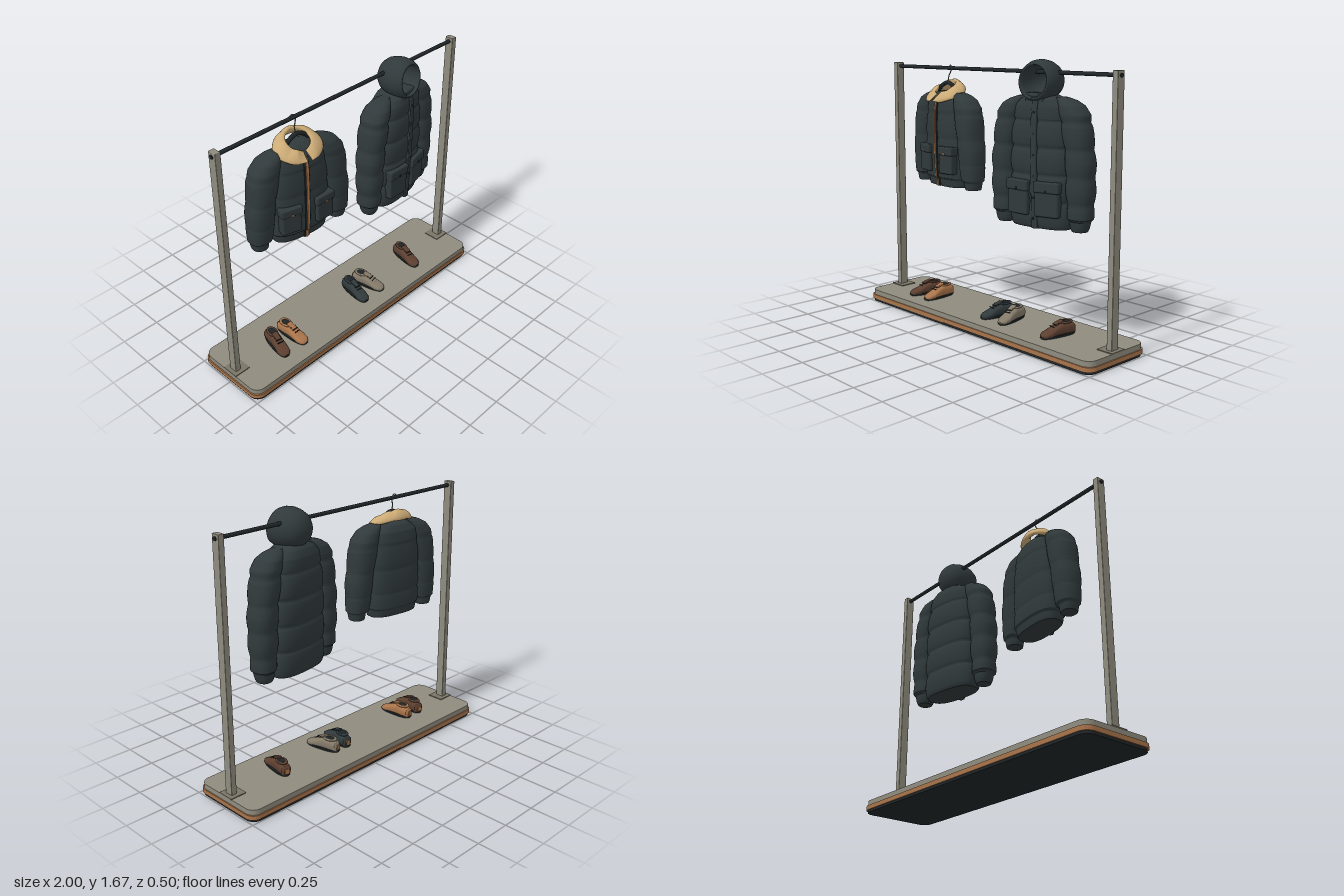
import * as THREE from 'three';
import { RoundedBoxGeometry } from 'three/addons/geometries/RoundedBoxGeometry.js';
import { ParametricGeometry } from 'three/addons/geometries/ParametricGeometry.js';

const mat = (name, color) => new THREE.MeshStandardMaterial({ name, color });

export function createModel() {
  const model = new THREE.Group();
  const slate = mat('slate cloth', 0x30393b), charcoal = mat('charcoal', 0x202628);
  const stone = mat('stone grey', 0x8f8b7e), pewter = mat('pewter', 0x7a7466);
  const copper = mat('copper wood', 0xa9744b), fleece = mat('tan fleece', 0xccab76);
  const brown = mat('dark brown leather', 0x5c3f30), taupe = mat('taupe suede', 0x847a69);

  function add(parent, name, geo, material, x = 0, y = 0, z = 0) {
    const m = new THREE.Mesh(geo, material);
    m.name = name;
    m.position.set(x, y, z);
    parent.add(m);
    return m;
  }
  function group(parent, name, x, y, z, turn = 0) {
    const g = new THREE.Group();
    g.name = name;
    g.position.set(x, y, z);
    g.rotation.y = turn;
    parent.add(g);
    return g;
  }

  // Closed skin through superellipse slices; each key is [y, xMin, xMax, zMin, zMax]
  function loft(keys, { rows = 40, n = 32, p = 2.3, puff = 0, pitch = 0.155 } = {}) {
    const lerp = new THREE.LinearInterpolant(keys.map(k => k[0]), keys.flatMap(k => k.slice(1)), 4);
    const y0 = keys[0][0], y1 = keys[keys.length - 1][0];
    // evenly spaced rows plus the key heights themselves
    const ys = [...new Set([...keys.map(k => k[0]), ...Array.from({ length: rows + 1 }, (_, i) => y0 + (y1 - y0) * i / rows)])].sort((a, b) => a - b);
    const pos = [], idx = [];
    const ring = y => {
      const [a, b, c, d] = lerp.evaluate(y);
      const bulge = puff * (Math.sqrt(Math.abs(Math.sin(Math.PI * (y - y0) / pitch))) - 0.5);
      for (let j = 0; j < n; j++) {
        const t = j / n * Math.PI * 2, cs = Math.cos(t), sn = Math.sin(t);
        pos.push((a + b) / 2 + Math.sign(cs) * Math.abs(cs) ** (2 / p) * ((b - a) / 2 + bulge), y,
          (c + d) / 2 + Math.sign(sn) * Math.abs(sn) ** (2 / p) * ((d - c) / 2 + bulge));
      }
      return [(a + b) / 2, y, (c + d) / 2];
    };
    ys.forEach(ring);
    for (let i = 0; i < ys.length - 1; i++) for (let j = 0; j < n; j++) {
      const a = i * n + j, b = i * n + (j + 1) % n;
      idx.push(a, a + n, b, b, a + n, b + n);
    }
    for (const [y, up] of [[y0, false], [y1, true]]) {
      const s = pos.length / 3;
      pos.push(...ring(y));
      for (let j = 0; j < n; j++) {
        const a = s + j, b = s + (j + 1) % n;
        idx.push(s + n, up ? b : a, up ? a : b);
      }
    }
    const g = new THREE.BufferGeometry();
    g.setAttribute('position', new THREE.Float32BufferAttribute(pos, 3));
    g.setIndex(idx);
    g.computeVertexNormals();
    return g;
  }

  // Layered plinth
  function slab(name, hx, hz, y, h, material) {
    const r = 0.06, s = new THREE.Shape();
    [[hx - r, -hz + r, -0.5], [hx - r, hz - r, 0], [-hx + r, hz - r, 0.5], [-hx + r, -hz + r, 1]]
      .forEach(([x, z, a]) => s.absarc(x, z, r, a * Math.PI, (a + 0.5) * Math.PI));
    const g = new THREE.ExtrudeGeometry(s, { depth: h, bevelEnabled: false, curveSegments: 6 });
    add(model, name, g.rotateX(-Math.PI / 2), material, 0, y, 0);
  }
  slab('plinthBottom', 0.992, 0.244, 0, 0.018, charcoal);
  slab('plinthWood', 1, 0.25, 0.016, 0.028, copper);
  slab('plinthTop', 0.993, 0.243, 0.044, 0.033, stone);

  // Posts, foot plates and rail
  for (const s of [-1, 1]) {
    add(model, 'footPlate', new THREE.BoxGeometry(0.11, 0.007, 0.11), pewter, s * 0.94, 0.079, 0);
    add(model, 'post', new RoundedBoxGeometry(0.038, 1.55, 0.056, 2, 0.004), stone, s * 0.95, 0.85, 0);
  }
  add(model, 'rail', new THREE.CylinderGeometry(0.012, 0.012, 1.95, 20).rotateZ(Math.PI / 2), charcoal, 0, 1.6, 0);

  // Torso, two sleeves and a front strip that follows the torso
  function garment(name, x, turn, torso, sleeve, puff) {
    const g = group(model, name, x, 0, 0.005, turn);
    add(g, 'torso', loft(torso.map(([y, w, b, f]) => [y, -w, w, b, f]), { p: 2.8, n: 48, rows: 70, puff }), slate);
    for (const s of [-1, 1]) {
      const keys = sleeve.map(([y, a, b, d]) => [y, Math.min(s * a, s * b), Math.max(s * a, s * b), 0.015 - d, 0.015 + d]);
      add(g, 'sleeve', loft(keys, { rows: 50, puff: puff * 0.8 }), slate);
    }
    return g;
  }
  const strip = (torso, x, w, out, yMax) => loft(torso.filter(k => k[0] < yMax)
    .map(([y, , , f]) => [y, x - w, x + w, f - 0.02, f + out]), { p: 6, n: 24 });

  // Patch pocket with a flap and a snap
  function pocket(parent, s, x, y, w, h, z, snapMat) {
    const p = group(parent, 'pocket', s * x, y, z, s * 0.12);
    add(p, 'pocketBag', new RoundedBoxGeometry(w, h, 0.06, 3, 0.012), slate);
    add(p, 'pocketFlap', new RoundedBoxGeometry(w + 0.01, h * 0.32, 0.066, 3, 0.01), slate, 0, h * 0.36, 0.004);
    add(p, 'pocketSnap', new THREE.CylinderGeometry(0.008, 0.008, 0.006, 12).rotateX(Math.PI / 2), snapMat, 0, h * 0.26, 0.038);
  }

  // Short jacket
  const jacketTorso = [[0.853, 0.178, -0.075, 0.09], [0.9, 0.18, -0.078, 0.093], [0.912, 0.19, -0.088, 0.105],
    [1.0, 0.192, -0.09, 0.11], [1.2, 0.187, -0.092, 0.112], [1.34, 0.17, -0.09, 0.11], [1.4, 0.155, -0.08, 0.1],
    [1.44, 0.11, -0.06, 0.08], [1.46, 0.05, -0.03, 0.05]];
  const jacket = garment('shortJacket', -0.41, -0.13, jacketTorso,
    [[0.855, 0.225, 0.325, 0.05], [0.9, 0.222, 0.33, 0.052], [0.912, 0.202, 0.34, 0.066], [1.0, 0.185, 0.345, 0.076],
      [1.1, 0.178, 0.342, 0.08], [1.2, 0.165, 0.328, 0.083], [1.3, 0.14, 0.322, 0.083], [1.36, 0.13, 0.303, 0.08],
      [1.41, 0.12, 0.262, 0.068], [1.435, 0.11, 0.215, 0.052], [1.452, 0.1, 0.165, 0.03]], 0.006);
  add(jacket, 'placket', strip(jacketTorso, 0, 0.018, 0.008, 1.43), charcoal);
  add(jacket, 'zip', strip(jacketTorso, 0, 0.009, 0.013, 1.43), copper);
  for (const s of [-1, 1]) pocket(jacket, s, 0.115, 1.027, 0.125, 0.17, 0.096, copper);

  // Fleece collar: a C-shaped ring, high behind and low in front
  const collar = new ParametricGeometry((u, v, out) => {
    const t = 0.1 + u * (Math.PI * 2 - 0.2), a = v * Math.PI * 2, b = (1 - Math.cos(t)) / 2;
    const k = 0.5 + 0.5 * Math.cos(a);
    const thick = 0.026 * Math.min(1, Math.sin(u * Math.PI) * 5) * (0.75 + 0.25 * Math.abs(Math.sin(u * Math.PI * 7)));
    out.set(Math.sin(t) * (0.072 + 0.08 * k), 1.44 + 0.08 * b - k * (0.045 - 0.005 * b) + thick * Math.sin(a),
      0.035 + Math.cos(t) * (0.06 + 0.055 * k));
  }, 84, 16);
  add(jacket, 'fleeceCollar', collar, fleece);

  // Hanger
  const V = (x, y, z = 0) => new THREE.Vector3(x, y, z);
  const tube = (pts, r) => new THREE.TubeGeometry(new THREE.CatmullRomCurve3(pts), 32, r, 8);
  const hanger = group(jacket, 'hanger', 0, 0, 0.02, 0.13);
  add(hanger, 'hangerArms', tube([V(-0.14, 1.41), V(-0.06, 1.485), V(0, 1.51), V(0.06, 1.485), V(0.14, 1.41)], 0.013), charcoal);
  add(hanger, 'hangerHook', tube([V(0, 1.5), V(0, 1.55, -0.01), V(0.012, 1.578, -0.015), V(0.018, 1.6, -0.02),
    V(0, 1.62, -0.024), V(-0.018, 1.604, -0.034)], 0.0035), pewter);

  // Long hooded coat
  const coatTorso = [[0.71, 0.2, -0.088, 0.1], [0.85, 0.202, -0.094, 0.106], [1.0, 0.2, -0.098, 0.112], [1.2, 0.196, -0.1, 0.114],
    [1.34, 0.18, -0.098, 0.114], [1.41, 0.162, -0.09, 0.108], [1.45, 0.13, -0.078, 0.1], [1.47, 0.09, -0.065, 0.09], [1.485, 0.065, -0.05, 0.085]];
  const coat = garment('hoodedCoat', 0.42, 0.13, coatTorso,
    [[0.71, 0.215, 0.315, 0.05], [0.77, 0.213, 0.322, 0.054], [0.785, 0.202, 0.336, 0.068], [0.93, 0.19, 0.345, 0.077],
      [1.1, 0.185, 0.343, 0.082], [1.2, 0.175, 0.33, 0.084], [1.3, 0.155, 0.318, 0.085], [1.37, 0.14, 0.303, 0.082],
      [1.42, 0.13, 0.265, 0.07], [1.447, 0.115, 0.22, 0.053], [1.465, 0.1, 0.165, 0.03]], 0.014);
  add(coat, 'placket', strip(coatTorso, 0.012, 0.02, 0.014, 1.46), slate);
  for (let i = 0; i < 6; i++)
    add(coat, 'button', new THREE.CylinderGeometry(0.007, 0.007, 0.008, 12).rotateX(Math.PI / 2), charcoal, 0.012, 0.77 + i * 0.122, 0.124);
  for (const s of [-1, 1]) pocket(coat, s, 0.1, 0.885, 0.155, 0.2, 0.097, charcoal);
  add(coat, 'standCollar', new RoundedBoxGeometry(0.125, 0.07, 0.05, 3, 0.012), slate, 0, 1.452, 0.082);

  // Hood: hollow bowl facing forward, lower edge pulled towards the front
  const profile = [[0, -0.108], [0.04, -0.103], [0.075, -0.087], [0.1, -0.06], [0.115, -0.02], [0.121, 0.02], [0.118, 0.065],
    [0.106, 0.1], [0.098, 0.108], [0.09, 0.104], [0.088, 0.08], [0.09, 0.02], [0.075, -0.04], [0.04, -0.07], [0, -0.08]];
  const hood = new THREE.LatheGeometry(profile.map(([r, h]) => new THREE.Vector2(r, h)), 40).rotateX(Math.PI / 2);
  const hp = hood.attributes.position;
  for (let i = 0; i < hp.count; i++) if (hp.getZ(i) > 0) hp.setZ(i, hp.getZ(i) * (1 - 1.2 * hp.getY(i)));
  hood.computeVertexNormals();
  add(coat, 'hood', hood, slate, 0, 1.553, 0.01);

  // Shoes
  function shoe(name, x, turn, upper) {
    const g = group(model, name, x, 0.077, 0.035, turn);
    add(g, 'sole', loft([[0, -0.038, 0.038, -0.118, 0.118], [0.006, -0.041, 0.041, -0.122, 0.122], [0.013, -0.041, 0.041, -0.122, 0.122]],
      { rows: 3, p: 2.6 }), charcoal);
    const keys = [[-0.118, 0.02, 0.045], [-0.105, 0.033, 0.066], [-0.06, 0.037, 0.077], [-0.02, 0.035, 0.079], [0.025, 0.036, 0.062],
      [0.065, 0.04, 0.044], [0.095, 0.035, 0.035], [0.112, 0.024, 0.027], [0.12, 0.01, 0.02]];
    add(g, 'upper', loft(keys.map(([l, w, h]) => [l, -w, w, -h, -0.003]), { rows: 20, p: 2.7 }).rotateX(Math.PI / 2), upper);
    const cuff = add(g, 'ankleCollar', new THREE.TorusGeometry(0.026, 0.007, 8, 24).rotateX(Math.PI / 2), upper, 0, 0.077, -0.055);
    cuff.scale.z = 1.5;
    add(g, 'opening', new THREE.CylinderGeometry(0.024, 0.024, 0.006, 24).scale(1, 1, 1.5), charcoal, 0, 0.078, -0.055);
    const tongue = add(g, 'tongue', new RoundedBoxGeometry(0.034, 0.012, 0.06, 2, 0.005), upper, 0, 0.08, -0.004);
    tongue.rotation.x = 0.3;
    for (let i = 0; i < 3; i++)
      add(g, 'lace', new RoundedBoxGeometry(0.042, 0.005, 0.006, 1, 0.002), charcoal, 0, 0.079 - i * 0.008, 0.008 + i * 0.018);
    add(g, 'heelTab', new RoundedBoxGeometry(0.03, 0.035, 0.008, 2, 0.003), copper, 0, 0.032, -0.118);
  }
  shoe('brownShoe', -0.642, -0.2, brown);
  shoe('copperShoe', -0.512, 0.05, copper);
  shoe('slateShoe', 0.058, -0.14, slate);
  shoe('taupeShoe', 0.183, 0.19, taupe);
  shoe('singleBrownShoe', 0.57, -0.17, brown);

  return model;
}
